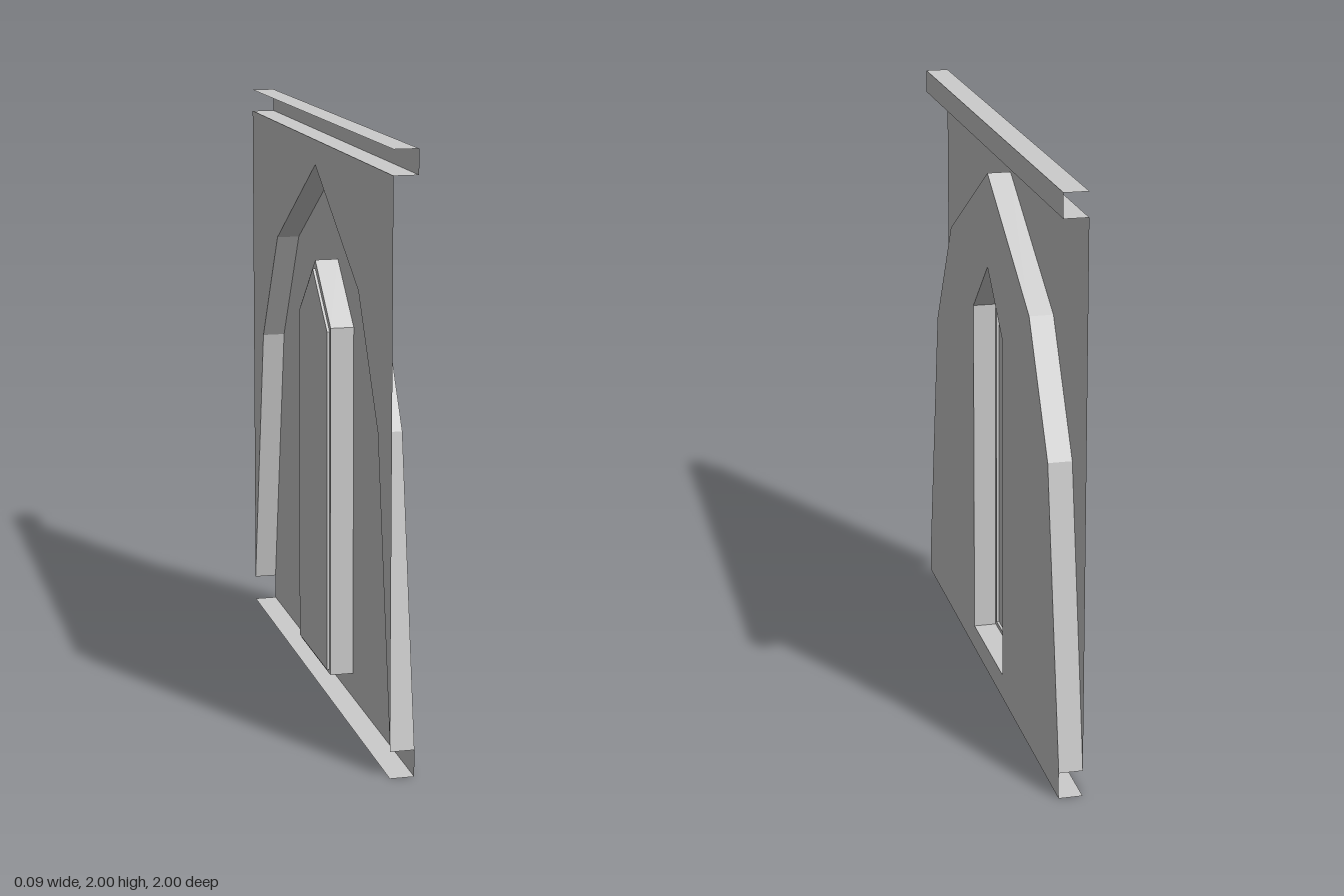
import * as THREE from 'three';

const FRONT = 0.044, BACK = -0.036, PANE = -0.045; // depth planes along x
const LEDGE = 1.92;

const material = new THREE.MeshStandardMaterial({
  color: 0xcccccc, flatShading: true, side: THREE.DoubleSide,
});

// Outlines are lists of [z, y]; flat faces and strips are built from them.
const toPoints = (list) => list.map(([z, y]) => new THREE.Vector2(-z, y));

function add(group, name, geometry) {
  const mesh = new THREE.Mesh(geometry, material);
  mesh.name = name;
  group.add(mesh);
}

// Flat sheet in the plane x, facing +x, with an optional hole
function sheet(x, outline, hole) {
  const shape = new THREE.Shape(toPoints(outline));
  if (hole) shape.holes.push(new THREE.Path(toPoints(hole)));
  return new THREE.ShapeGeometry(shape).rotateY(Math.PI / 2).translate(x, 0, 0);
}

// Strip joining the same outline at two depths
function strip(path, x0, x1, closed = false) {
  const pos = [];
  const count = closed ? path.length : path.length - 1;
  for (let i = 0; i < count; i++) {
    const [z0, y0] = path[i];
    const [z1, y1] = path[(i + 1) % path.length];
    pos.push(x0, y0, z0, x1, y0, z0, x1, y1, z1, x0, y0, z0, x1, y1, z1, x0, y1, z1);
  }
  const g = new THREE.BufferGeometry();
  g.setAttribute('position', new THREE.Float32BufferAttribute(pos, 3));
  g.computeVertexNormals();
  return g;
}

// Pointed window outline
const pointed = (w, bottom, shoulder, apex) =>
  [[-w, bottom], [w, bottom], [w, shoulder], [0, apex], [-w, shoulder]];

export function createModel() {
  const group = new THREE.Group();
  group.name = 'archedWallPanel';

  const half = [[1, 0.09], [0.833, 1.09], [0.585, 1.5]];
  const arch = [...half, [0, 1.835], ...half.map(([z, y]) => [-z, y]).reverse()];
  const opening = pointed(0.22, 0.087, 1.31, 1.508);
  const pane = pointed(0.205, 0.102, 1.295, 1.478);

  // Raised arch field with its window opening
  add(group, 'archField', sheet(FRONT, [[1, 0], ...arch, [-1, 0]], opening));
  add(group, 'archEdge', strip(arch, BACK, FRONT));

  // Set-back wall around the arch
  add(group, 'spandrels', sheet(BACK, [...arch, [-1, LEDGE], [1, LEDGE]]));

  // Window: deep reveal, thin frame, small step and pane
  add(group, 'windowReveal', strip(opening, BACK, FRONT, true));
  add(group, 'windowFrame', sheet(BACK, opening, pane));
  add(group, 'windowStep', strip(pane, PANE, BACK, true));
  add(group, 'windowPane', sheet(PANE, pane));

  // Top rail and the base, open at the ends
  add(group, 'railFace', sheet(FRONT, [[1, LEDGE], [1, 2], [-1, 2], [-1, LEDGE]]));
  for (const [name, y] of [['railTop', 2], ['railUnderside', LEDGE], ['base', 0]]) {
    add(group, name, strip([[1, y], [-1, y]], BACK, FRONT));
  }
  return group;
}
